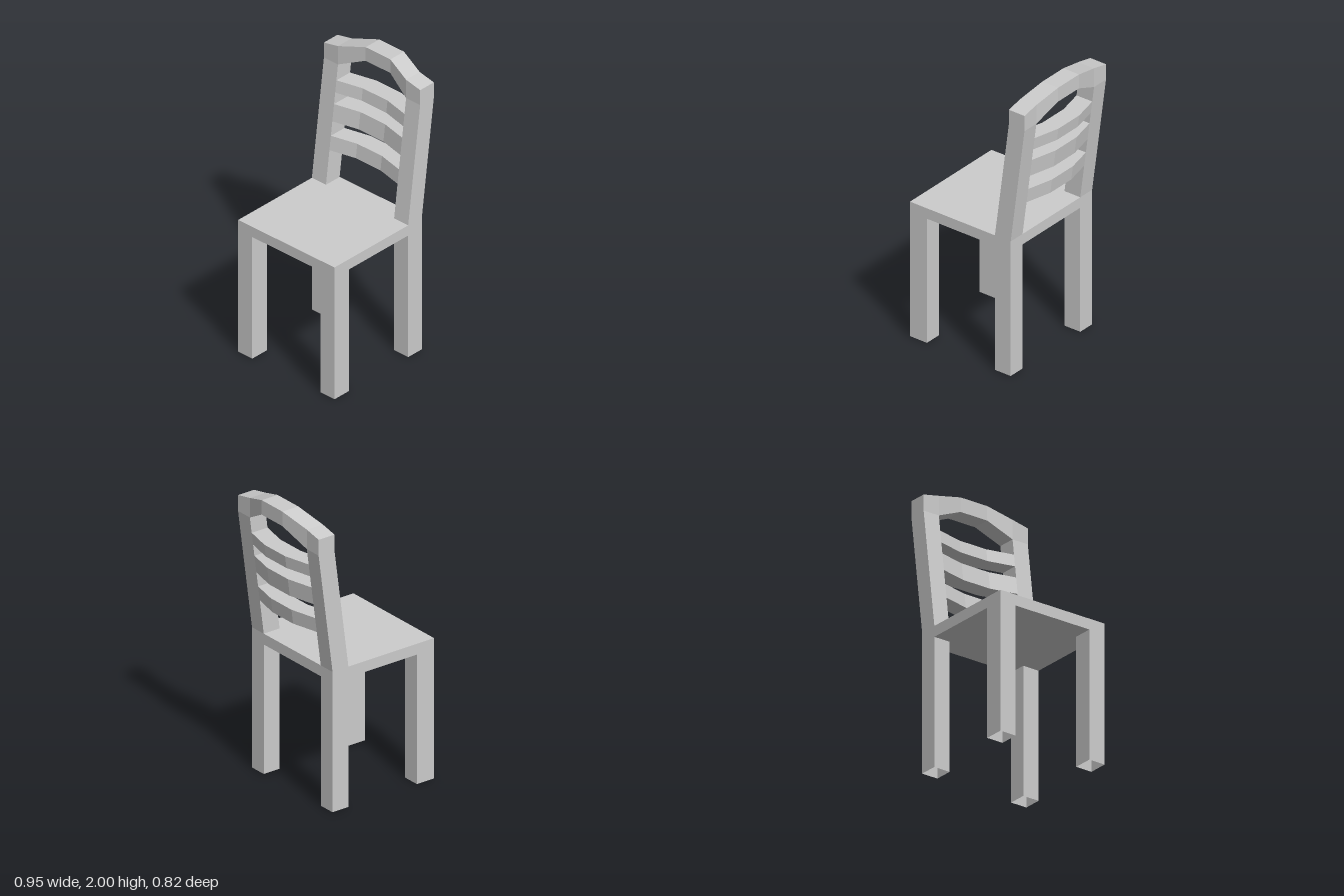
import * as THREE from 'three';

const material = new THREE.MeshStandardMaterial({ color: 0xcccccc, flatShading: true, side: THREE.DoubleSide });

// Skin a row of four-cornered rings; the far end can be closed
function loft(name, rings, capEnd = false) {
  const pos = [];
  const quad = (a, b, c, d) => pos.push(...a, ...b, ...c, ...a, ...c, ...d);
  for (let i = 0; i < rings.length - 1; i++) {
    const r = rings[i], s = rings[i + 1];
    for (let j = 0; j < 4; j++) {
      const k = (j + 1) % 4;
      quad(r[j], r[k], s[k], s[j]);
    }
  }
  if (capEnd) quad(...rings[rings.length - 1]);
  const geo = new THREE.BufferGeometry();
  geo.setAttribute('position', new THREE.Float32BufferAttribute(pos, 3));
  geo.computeVertexNormals();
  const mesh = new THREE.Mesh(geo, material);
  mesh.name = name;
  return mesh;
}

const OUT = 0.41, IN = 0.29;             // outer and inner z of legs and posts
const SEAT_LOW = 0.895, SEAT_TOP = 0.97;
const DEPTH = 0.125;                     // post, slat and rail thickness along x
const KNEE = 1.805;                      // height where the posts turn upright

// Front face of the leaning back at a given height
const lean = y => 0.2 + 0.11 * Math.min(1, (y - SEAT_TOP) / (KNEE - SEAT_TOP));

// Horizontal ring; the height may differ at the two z ends
const flatRing = (x0, x1, z0, z1, y0, y1 = y0) =>
  [[x0, y0, z0], [x0, y1, z1], [x1, y1, z1], [x1, y0, z0]];

// Upright ring across z, following the lean of the back, bowed backwards
const barRing = (z, low, high, xLow, xHigh) =>
  [[xLow, low, z], [xLow + DEPTH, low, z], [xHigh + DEPTH, high, z], [xHigh, high, z]];

export function createModel() {
  const chair = new THREE.Group();
  chair.name = 'chair';

  // Seat slab
  const seat = new THREE.Mesh(new THREE.BoxGeometry(0.8, SEAT_TOP - SEAT_LOW, 2 * OUT), material);
  seat.position.set(-0.075, (SEAT_LOW + SEAT_TOP) / 2, 0);
  seat.name = 'seat';
  chair.add(seat);

  for (const side of [1, -1]) {
    const z0 = side > 0 ? IN : -OUT, z1 = side > 0 ? OUT : -IN;

    // Hollow legs, open at the foot
    for (const [name, x0, x1] of [['frontLeg', -0.475, -0.34], ['backLeg', 0.2, 0.325]]) {
      chair.add(loft(name, [flatRing(x0, x1, z0, z1, 0), flatRing(x0, x1, z0, z1, SEAT_LOW)]));
    }

    // Leaning post with an upright head, sloping down to the outside
    const head = side > 0 ? [1.94, 1.915] : [1.915, 1.94];
    const rings = [SEAT_TOP, KNEE].map(y => flatRing(lean(y), lean(y) + DEPTH, z0, z1, y));
    rings.push(flatRing(0.31, 0.31 + DEPTH, z0, z1, ...head));
    chair.add(loft('backPost', rings, true));
  }

  // Bowed slats between the posts
  for (const [low, high] of [[1.21, 1.31], [1.41, 1.53], [1.61, 1.695]]) {
    chair.add(loft('backSlat', [[-IN, 0], [-0.105, 0.043], [0.105, 0.043], [IN, 0]].map(
      ([z, bow]) => barRing(z, low, high, lean(low) + bow, lean(high) + bow))));
  }

  // Arched and bowed top rail
  chair.add(loft('topRail', [
    [-IN, KNEE, 1.94, 0.31], [-0.09, 1.9, 2, 0.348], [0.12, 1.9, 2, 0.348], [IN, KNEE, 1.94, 0.31],
  ].map(([z, low, high, x]) => barRing(z, low, high, x, x))));

  return chair;
}
